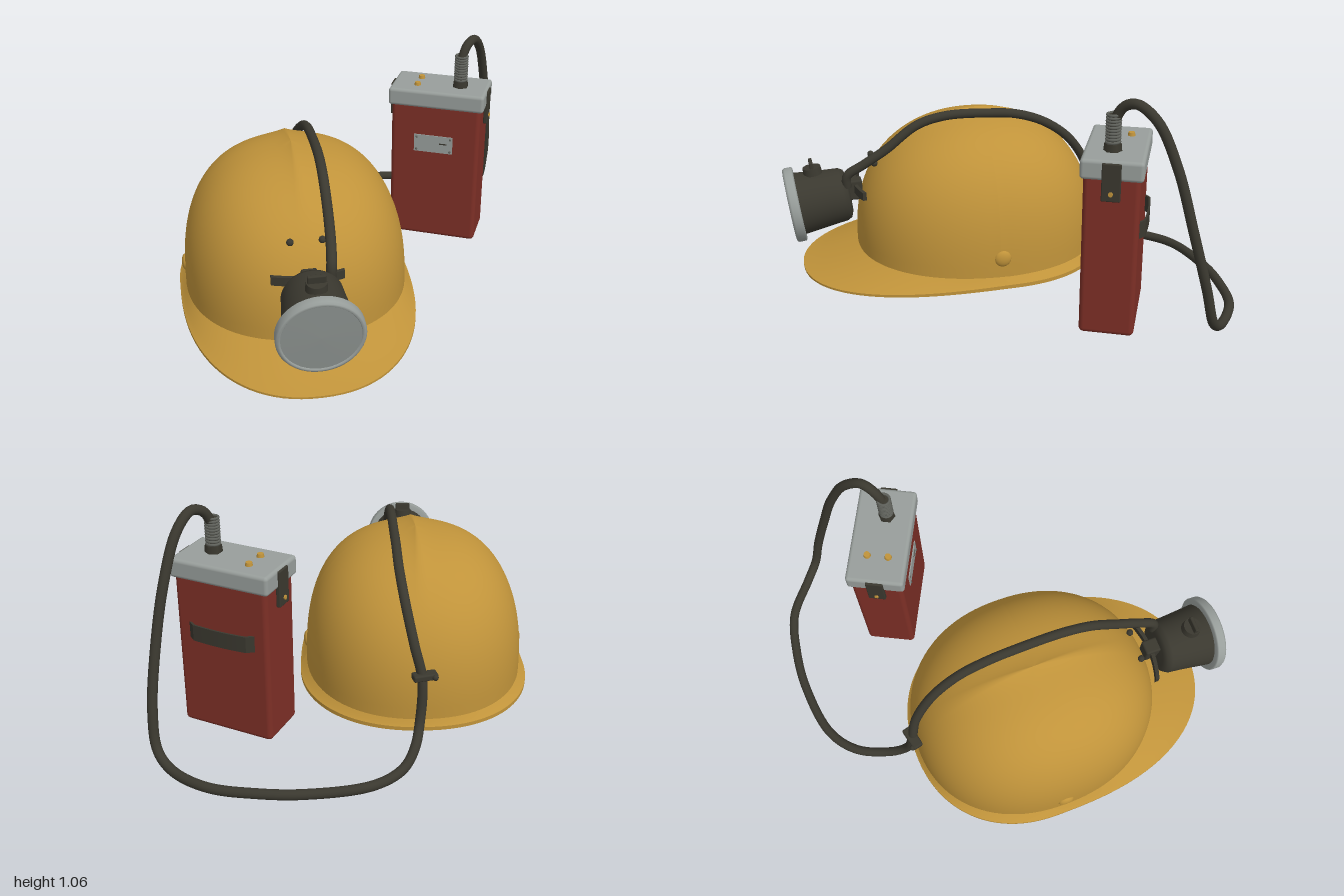
import * as THREE from 'three';
import { RoundedBoxGeometry } from 'three/addons/geometries/RoundedBoxGeometry.js';

const V = (x, y, z) => new THREE.Vector3(x, y, z);
const material = (name, color) => Object.assign(new THREE.MeshStandardMaterial({ color }), { name });

function add(parent, name, geo, mat, x = 0, y = 0, z = 0) {
  const m = new THREE.Mesh(geo, mat);
  m.name = name;
  m.position.set(x, y, z);
  parent.add(m);
  return m;
}

// Closed rings joined into a smooth skin; point(v, a) with v in 0..1
function loft(rows, point, segs = 96) {
  const pos = [], idx = [];
  for (let i = 0; i <= rows; i++)
    for (let j = 0; j <= segs; j++) pos.push(...point(i / rows, (j % segs) / segs * Math.PI * 2).toArray());
  for (let i = 0; i < rows; i++)
    for (let j = 0; j < segs; j++) {
      const a = i * (segs + 1) + j, b = a + segs + 1;
      idx.push(a, b, a + 1, b, b + 1, a + 1);
    }
  const g = new THREE.BufferGeometry();
  g.setAttribute('position', new THREE.Float32BufferAttribute(pos, 3));
  g.setIndex(idx);
  g.computeVertexNormals();
  return g;
}

const HX = -0.31; // helmet centre line
const pw = (v, e) => Math.sign(v) * Math.pow(Math.abs(v), e);
const oval = (a, hx, back, front, zc) => {
  const s = pw(Math.sin(a), 0.91);
  return V(HX + hx * pw(Math.cos(a), 0.91), 0, zc + (s > 0 ? front : back) * s);
};
const baseY = z => 0.092 + 0.02 * Math.max(z, 0) / 0.65;

// Dome skin with a soft ridge along the crown
function domePoint(t, a, k = 1) {
  const phi = t * Math.PI / 2, c = Math.max(Math.cos(phi), 0);
  const h = Math.pow(Math.sin(phi), 0.8);
  const p = oval(a, 0.515 * k * Math.pow(c, 0.8), 0.59 * k * Math.pow(c, 0.91), 0.6 * k * Math.pow(c, 0.91), 0.05);
  const b = baseY(p.z);
  const ridge = 0.03 * Math.exp(-Math.abs(p.x - HX) / 0.06) * Math.pow(h, 5);
  p.y = b + (0.742 * k - b) * h + ridge;
  return p;
}

// Brim outline, wide at the front as a peak
function brimPoint(a, lift = 0) {
  const back = Math.sin(a) < 0;
  const p = oval(a, 0.545, 0.56, 0.72, 0);
  if (!back) p.z = 0.925 * pw(Math.sin(a), 0.8);
  const f = Math.max(p.z, 0) / 0.925;
  p.y = 0.045 - 0.03 * Math.pow(f, 1.4) + lift * (1 - 0.5 * f);
  return p;
}

export function createModel() {
  const model = new THREE.Group();
  model.name = 'helmetWithLampAndBattery';
  const yellow = material('helmetYellow', 0xc0933a);
  const dark = material('darkRubber', 0x3a382f);
  const red = material('batteryRed', 0x7d2f26);
  const grey = material('lightMetal', 0x989e9b);
  const lensGrey = material('lensGrey', 0x8d9390);
  const steel = material('springSteel', 0x5e605a);

  // Helmet shell
  const helmet = new THREE.Group();
  helmet.name = 'helmet';
  model.add(helmet);
  add(helmet, 'dome', loft(36, (v, a) => domePoint(v, a)), yellow);
  add(helmet, 'domeLining', loft(24, (v, a) => domePoint(1 - v, a, 0.965)), dark);
  add(helmet, 'brimTop', loft(6, (v, a) => {
    const p = brimPoint(a, 0.018), y = p.y;
    const q = domePoint(0, a);
    p.lerp(q, v);
    p.y = y + (q.y - y) * Math.pow(v, 1.15);
    return p;
  }), yellow);
  add(helmet, 'brimEdge', loft(1, (v, a) => brimPoint(a, 0.018 * v)), yellow);
  add(helmet, 'brimUnderside', loft(3, (v, a) => {
    const q = domePoint(0, a, 0.965);
    q.y -= 0.03;
    return q.lerp(brimPoint(a), v);
  }), yellow);
  add(helmet, 'innerLip', loft(1, (v, a) => {
    const q = domePoint(0, a, 0.965);
    q.y -= 0.03 * v;
    return q;
  }), dark);
  for (const s of [-1, 1]) {
    const rivet = add(helmet, 'sideRivet', new THREE.SphereGeometry(0.04, 24, 16), yellow, HX + s * 0.508, 0.185, 0.04);
    rivet.scale.x = 0.5;
    add(helmet, 'frontBolt', new THREE.SphereGeometry(0.016, 12, 8), dark, HX - 0.005 + s * 0.068, 0.545, 0.562);
  }

  // Lamp bracket on the front of the dome
  const arc = new THREE.Shape();
  arc.moveTo(-0.155, -0.03).quadraticCurveTo(0, 0.028, 0.155, -0.03);
  arc.lineTo(0.155, -0.012).quadraticCurveTo(0, 0.046, -0.155, -0.012);
  const plate = add(helmet, 'lampBracket', new THREE.ExtrudeGeometry(arc, { depth: 0.04, bevelEnabled: false, curveSegments: 16 }), dark, HX - 0.01, 0.39, 0.645);
  plate.rotation.x = Math.PI / 2;
  plate.position.y = 0.43;
  add(helmet, 'bracketArm', new RoundedBoxGeometry(0.07, 0.1, 0.1, 2, 0.01), dark, HX - 0.005, 0.4, 0.67);

  // Headlamp, tilted slightly down
  const lamp = new THREE.Group();
  lamp.name = 'headlamp';
  lamp.position.set(-0.315, 0.34, 0.972);
  lamp.rotation.x = 0.13;
  model.add(lamp);
  const turned = (name, pts, mat) => {
    const g = new THREE.LatheGeometry(pts.map(p => new THREE.Vector2(...p)), 48);
    add(lamp, name, g.rotateX(Math.PI / 2), mat);
  };
  turned('lampBody', [[0, -0.295], [0.09, -0.293], [0.118, -0.282], [0.13, -0.26], [0.135, -0.2], [0.152, -0.045]], dark);
  turned('lampRim', [[0.15, -0.05], [0.176, -0.05], [0.182, -0.044], [0.182, -0.012], [0.176, -0.002], [0.166, 0], [0.162, -0.006]], grey);
  turned('lens', [[0.163, -0.006], [0.08, -0.004], [0, -0.003]], lensGrey);
  add(lamp, 'switchBase', new THREE.CylinderGeometry(0.042, 0.046, 0.035, 24), dark, 0, 0.155, -0.14);
  add(lamp, 'switchGrip', new RoundedBoxGeometry(0.075, 0.04, 0.018, 2, 0.005), dark, 0, 0.185, -0.14);

  // Cable from lamp over the crown, down the back, along the ground and up to the battery
  const path = [
    [-0.235, 0.44, 0.7], [-0.23, 0.5, 0.695], [-0.22, 0.55, 0.62], [-0.212, 0.62, 0.51], [-0.21, 0.73, 0.36],
    [-0.208, 0.768, 0.22], [-0.208, 0.765, 0], [-0.21, 0.75, -0.13], [-0.215, 0.7, -0.27], [-0.235, 0.6, -0.405],
    [-0.27, 0.45, -0.508], [-0.305, 0.3, -0.55], [-0.295, 0.1, -0.595], [-0.27, 0.04, -0.68], [-0.2, 0.03, -0.83],
    [-0.07, 0.03, -0.93], [0.2, 0.03, -0.977], [0.4, 0.03, -0.967], [0.6, 0.028, -0.92], [0.76, 0.028, -0.8],
    [0.825, 0.08, -0.73], [0.84, 0.25, -0.68], [0.815, 0.52, -0.61], [0.77, 0.78, -0.545], [0.715, 0.97, -0.47],
    [0.66, 1.035, -0.4], [0.615, 1.015, -0.36], [0.587, 0.95, -0.335], [0.585, 0.87, -0.33],
  ].map(p => V(...p));
  add(model, 'cable', new THREE.TubeGeometry(new THREE.CatmullRomCurve3(path), 260, 0.022, 14), dark);
  const clip = add(model, 'cableClip', new RoundedBoxGeometry(0.11, 0.03, 0.05, 2, 0.008), dark, -0.315, 0.32, -0.55);
  clip.rotation.y = 0.25;
  add(model, 'clipScrew', new THREE.SphereGeometry(0.014, 12, 8), dark, -0.36, 0.32, -0.565);

  // Battery pack
  const battery = new THREE.Group();
  battery.name = 'batteryPack';
  battery.position.set(0.5, 0, -0.385);
  battery.rotation.y = -0.46;
  model.add(battery);
  add(battery, 'batteryCase', new RoundedBoxGeometry(0.445, 0.735, 0.238, 4, 0.022), red, 0, 0.3825, 0);
  add(battery, 'batteryLid', new RoundedBoxGeometry(0.475, 0.088, 0.265, 4, 0.016), grey, 0, 0.776, 0);
  for (const s of [-1, 1]) {
    add(battery, 'lidClasp', new RoundedBoxGeometry(0.02, 0.165, 0.08, 2, 0.005), dark, s * 0.236, 0.728, 0);
    const stud = add(battery, 'claspStud', new THREE.CylinderGeometry(0.01, 0.01, 0.01, 16), yellow, s * 0.247, 0.68, 0);
    stud.rotation.z = Math.PI / 2;
    add(battery, 'lidBolt', new THREE.CylinderGeometry(0.014, 0.017, 0.016, 20), yellow, -0.108, 0.827, s * 0.048);
  }

  // Data plate with corner rivets
  add(battery, 'dataPlate', new THREE.BoxGeometry(0.195, 0.09, 0.006), grey, -0.005, 0.54, 0.121);
  for (const sx of [-1, 1])
    for (const sy of [-1, 1])
      add(battery, 'plateRivet', new THREE.SphereGeometry(0.006, 8, 6), steel, -0.005 + sx * 0.085, 0.54 + sy * 0.033, 0.124);
  add(battery, 'plateSlot', new THREE.BoxGeometry(0.04, 0.006, 0.004), dark, 0.045, 0.545, 0.1235);

  // Belt loop bowed out from the back
  const loop = new THREE.Shape();
  loop.moveTo(-0.17, 0.112).lineTo(-0.13, 0.142).quadraticCurveTo(0, 0.156, 0.13, 0.142).lineTo(0.17, 0.112);
  loop.lineTo(0.155, 0.112).lineTo(0.125, 0.134).quadraticCurveTo(0, 0.148, -0.125, 0.134).lineTo(-0.155, 0.112);
  const belt = add(battery, 'beltLoop', new THREE.ExtrudeGeometry(loop, { depth: 0.075, bevelEnabled: false }), dark, 0, 0.455, 0);
  belt.rotation.x = -Math.PI / 2;

  // Cable socket with spring strain relief
  const cx = 0.1, cz = 0.012;
  add(battery, 'socketNut', new THREE.CylinderGeometry(0.036, 0.04, 0.035, 6), dark, cx, 0.835, cz);
  add(battery, 'springCore', new THREE.CylinderGeometry(0.026, 0.028, 0.13, 20), dark, cx, 0.91, cz);
  for (let i = 0; i < 10; i++) {
    const coil = add(battery, 'springCoil', new THREE.TorusGeometry(0.028, 0.006, 8, 24), steel, cx, 0.858 + i * 0.0132, cz);
    coil.rotation.x = Math.PI / 2 + 0.06;
  }
  return model;
}
